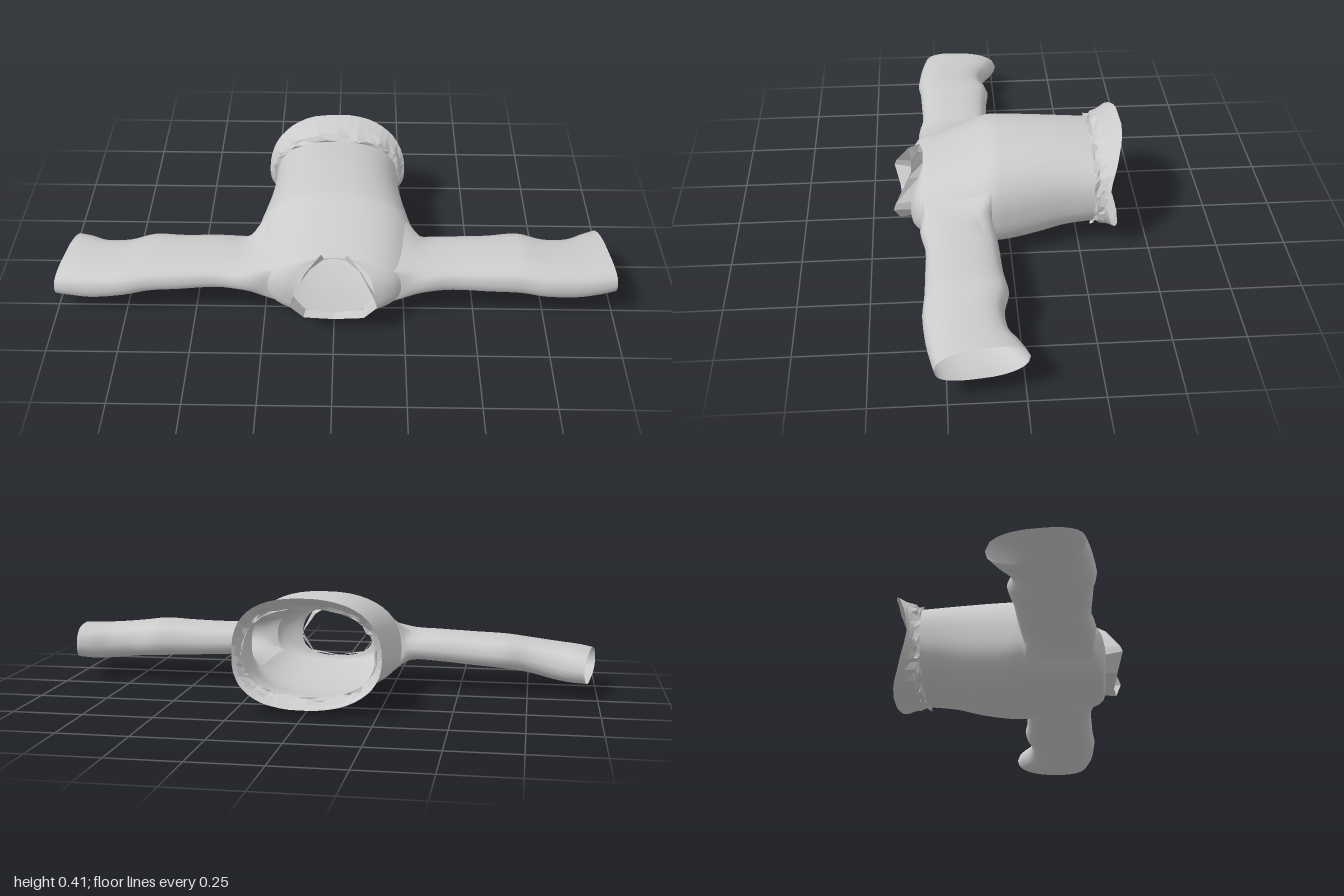
import * as THREE from 'three';

const V = (x, y, z) => new THREE.Vector3(x, y, z);
const cloth = new THREE.MeshStandardMaterial({ color: 0xcccccc, side: THREE.DoubleSide });
const creased = cloth.clone();
creased.flatShading = true;

// Skins a list of point rows; skip(row, col) leaves a cell open.
function loft(name, rows, { closed = true, flip = false, skip = () => false, material = cloth } = {}) {
  const n = rows[0].length, index = [];
  for (let r = 0; r < rows.length - 1; r++) {
    for (let i = 0; i < (closed ? n : n - 1); i++) {
      if (skip(r, i)) continue;
      const a = r * n + i, b = r * n + (i + 1) % n, c = b + n, d = a + n;
      index.push(...(flip ? [a, c, b, a, d, c] : [a, b, c, a, c, d]));
    }
  }
  const g = new THREE.BufferGeometry().setFromPoints(rows.flat());
  g.setIndex(index);
  g.computeVertexNormals();
  const mesh = new THREE.Mesh(g, material);
  mesh.name = name;
  return mesh;
}

let seed = 7;
const rand = () => ((seed = (seed * 16807) % 2147483647) / 2147483647) - 0.5;

const N = 48, STEP = 4, ARM = 4;
const bend = v => Math.sign(v) * Math.abs(v) ** 0.83;

// Rounded cross-section of the torso; tilt pulls its upper half backwards.
function section(z, w, cy, top, bot, tilt) {
  return Array.from({ length: N }, (_, i) => {
    const a = i / N * Math.PI * 2, s = bend(Math.sin(a));
    return V(w * bend(Math.cos(a)), cy + s * (s > 0 ? top - cy : cy - bot), z - tilt * Math.max(0, s) ** 2);
  });
}

// Torso stations from hem to neck: z, half width, centre y, top, bottom, tilt
const stations = [
  [-0.30, 0.232, 0.19, 0.355, 0.045, 0],
  [-0.20, 0.235, 0.18, 0.365, 0.033, 0],
  [-0.10, 0.25, 0.165, 0.37, 0.01, 0],
  [0.00, 0.272, 0.15, 0.37, 0.001, 0],
  [0.07, 0.285, 0.15, 0.363, 0.004, 0],
  [0.15, 0.275, 0.15, 0.325, 0.01, 0],
  [0.24, 0.262, 0.15, 0.292, 0.025, 0],
  [0.315, 0.235, 0.15, 0.276, 0.04, 0.02],
  [0.345, 0.19, 0.15, 0.272, 0.05, 0.04],
  [0.355, 0.14, 0.145, 0.268, 0.066, 0.05],
];
const HOLE0 = 4 * STEP, HOLE1 = 7 * STEP;

function torsoRows() {
  const c1 = new THREE.CatmullRomCurve3(stations.map(s => V(s[0], s[1], s[2])), false, 'catmullrom');
  const c2 = new THREE.CatmullRomCurve3(stations.map(s => V(s[3], s[4], s[5])), false, 'catmullrom');
  const count = (stations.length - 1) * STEP;
  return Array.from({ length: count + 1 }, (_, r) =>
    section(...c1.getPoint(r / count).toArray(), ...c2.getPoint(r / count).toArray()));
}

// Points around one armhole, counter-clockwise in (z, y)
function armhole(rows, side) {
  const at = (r, k) => rows[r][((side > 0 ? k : N / 2 - k) + N) % N].clone();
  const pts = [];
  for (let k = -ARM; k < ARM; k++) pts.push(at(HOLE1, k));
  for (let r = HOLE1; r > HOLE0; r--) pts.push(at(r, ARM));
  for (let k = ARM; k > -ARM; k--) pts.push(at(HOLE0, k));
  for (let r = HOLE0; r < HOLE1; r++) pts.push(at(r, -ARM));
  return pts;
}

// Sleeve stations: x, back z, front z, left top/bottom y, right top/bottom y
const sleeveStations = [
  [0.32, 0.06, 0.322, 0.219, 0.098, 0.212, 0.1],
  [0.42, 0.053, 0.305, 0.216, 0.098, 0.21, 0.1],
  [0.55, 0.047, 0.308, 0.219, 0.092, 0.204, 0.09],
  [0.66, 0.035, 0.312, 0.224, 0.088, 0.2, 0.083],
  [0.75, 0.055, 0.32, 0.212, 0.08, 0.188, 0.068],
  [0.85, 0.042, 0.312, 0.203, 0.072, 0.177, 0.047],
  [0.92, 0.01, 0.299, 0.202, 0.074, 0.172, 0.042],
  [0.975, -0.013, 0.287, 0.203, 0.082, 0.163, 0.044],
];

function sleeve(rows, side) {
  const columns = armhole(rows, side).map(p => {
    const t = Math.atan2((p.y - 0.15) / 0.08, (p.z - 0.19) / 0.125);
    const keys = sleeveStations.map(([x, z0, z1, lt, lb, rt, rb]) => {
      const [top, bot] = side > 0 ? [lt, lb] : [rt, rb];
      const slant = 0.025 * Math.cos(t) * THREE.MathUtils.smoothstep(x, 0.75, 0.97);
      return V(side * (x + slant), (top + bot) / 2 + (top - bot) / 2 * bend(Math.sin(t)),
        (z0 + z1) / 2 + (z1 - z0) / 2 * bend(Math.cos(t)));
    });
    return new THREE.CatmullRomCurve3([p, ...keys], false, 'catmullrom').getPoints(sleeveStations.length * 4);
  });
  const rings = columns[0].map((_, r) => columns.map(c => c[r]));
  return loft(side > 0 ? 'leftSleeve' : 'rightSleeve', rings, { flip: side > 0 });
}

// Puckered seam and flared band around the hem
function hem(first) {
  const gather = [[-0.302, 0.242, 0.362, 0.035], [-0.315, 0.235, 0.358, 0.045], [-0.325, 0.245, 0.372, 0.04]]
    .map(([z, w, top, bot]) => section(z, w, 0.19, top, bot, 0)
      .map(p => p.add(V(rand() * 0.012, rand() * 0.016, rand() * 0.018))));
  const flare = [[0.5, 0.25, 0.388, 0.033], [1, 0.262, 0.408, 0.024]].map(([f, w, top, bot]) =>
    section(0, w, 0.19, top, bot, 0).map((p, i) => {
      const s = Math.abs(Math.sin(i / N * Math.PI * 2));
      p.z = -0.327 - f * (0.015 + 0.068 * s ** 1.5) + rand() * 0.005;
      return p;
    }));
  const group = new THREE.Group();
  group.name = 'hem';
  group.add(loft('hemGathers', [first, ...gather], { flip: true, material: creased }),
    loft('hemBand', [gather[2], ...flare], { flip: true, material: creased }));
  return group;
}

// Standing collar, open at the top, mirrored about the centre
function collar() {
  const strip = half => [...half, ...half.slice(0, -1).reverse().map(p => V(-p.x, p.y, p.z))];
  const base = strip([V(0.035, 0.268, 0.305), V(0.085, 0.235, 0.325), V(0.135, 0.165, 0.352),
    V(0.14, 0.135, 0.355), V(0.1, 0.08, 0.355), V(0, 0.066, 0.352)]);
  const rim = strip([V(0.045, 0.296, 0.317), V(0.1, 0.245, 0.36), V(0.145, 0.165, 0.408),
    V(0.15, 0.142, 0.416), V(0.105, 0.078, 0.396), V(0, 0.062, 0.385)]);
  return loft('collar', [base, rim], { closed: false, flip: true, material: creased });
}

export function createModel() {
  const model = new THREE.Group();
  model.name = 'longSleevedJacket';
  const rows = torsoRows();
  const inArm = i => i < ARM || i >= N - ARM || (i >= N / 2 - ARM && i < N / 2 + ARM);
  model.add(loft('torso', rows, { skip: (r, i) => r >= HOLE0 && r < HOLE1 && inArm(i) }));
  for (const side of [1, -1]) model.add(sleeve(rows, side));
  model.add(hem(rows[0]), collar());
  return model;
}
